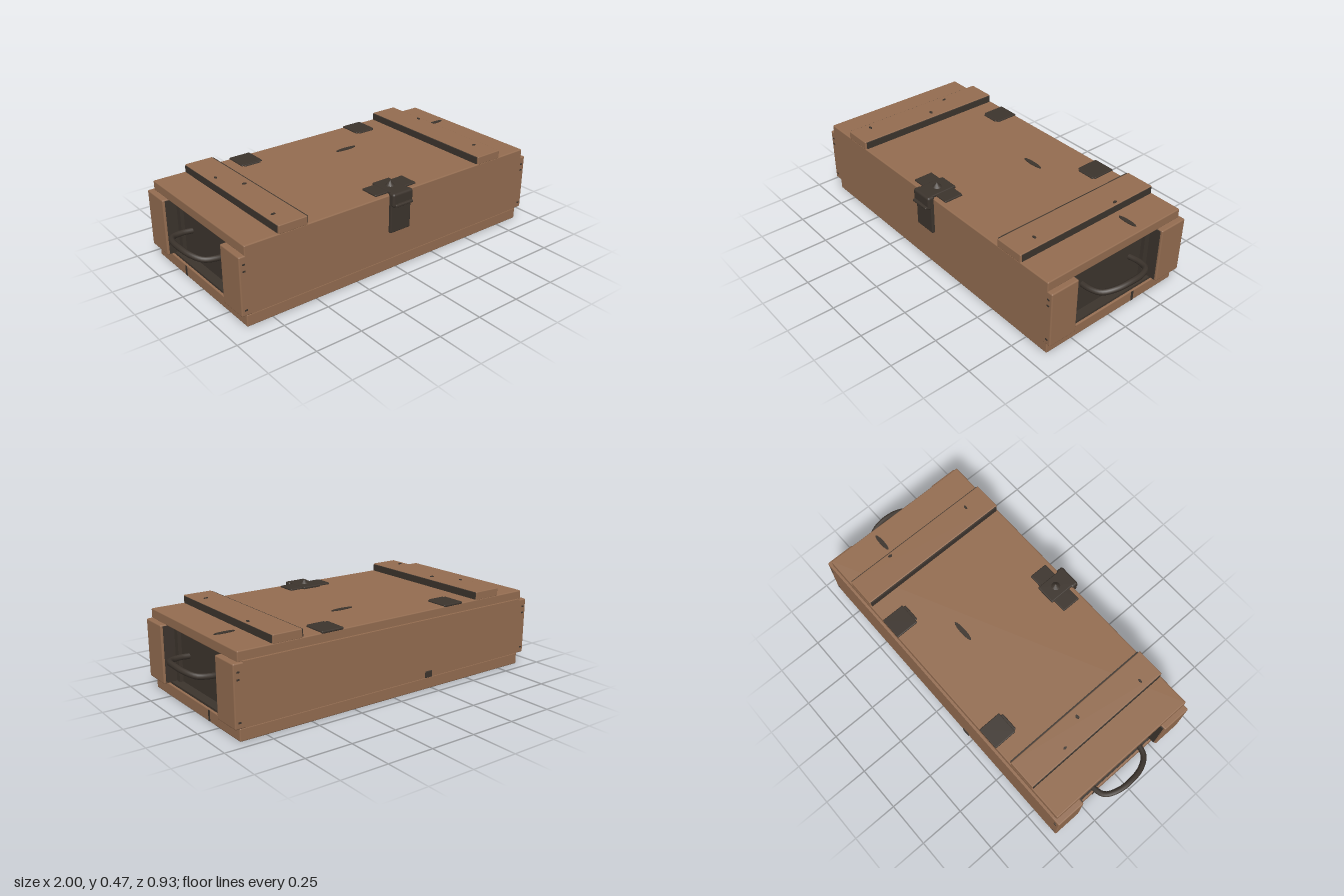
import * as THREE from 'three';
import { RoundedBoxGeometry } from 'three/addons/geometries/RoundedBoxGeometry.js';

export function createModel() {
  const model = new THREE.Group();
  model.name = 'woodenCrate';

  const wood = new THREE.MeshStandardMaterial({ color: 0x936c50 });
  wood.name = 'brown wood';
  const dark = new THREE.MeshStandardMaterial({ color: 0x3c342d });
  dark.name = 'dark metal and worn wood';

  // Block given by its minimum and maximum on each axis; bevel 0 gives sharp edges
  function block(name, mat, [x0, x1], [y0, y1], [z0, z1], bevel = 0) {
    const s = [x1 - x0, y1 - y0, z1 - z0];
    const geo = bevel ? new RoundedBoxGeometry(...s, 2, bevel) : new THREE.BoxGeometry(...s);
    const mesh = new THREE.Mesh(geo, mat);
    mesh.name = name;
    mesh.position.set((x0 + x1) / 2, (y0 + y1) / 2, (z0 + z1) / 2);
    model.add(mesh);
    return mesh;
  }
  // Range on the x axis for the +x (1) or -x (-1) side
  const span = (side, a, b) => (side > 0 ? [a, b] : [-b, -a]);

  // Base and the shadow gap above it
  block('base', wood, [-0.89, 0.89], [0, 0.064], [-0.445, 0.41], 0.006);
  block('baseGap', dark, [-0.88, 0.88], [0.06, 0.075], [-0.44, 0.4]);

  // Inner box, long boards and lid
  block('innerBox', dark, [-0.83, 0.83], [0.068, 0.378], [-0.4, 0.38]);
  block('frontBoard', wood, [-0.87, 0.87], [0.07, 0.4], [0.34, 0.42]);
  block('backBoard', wood, [-0.87, 0.87], [0.07, 0.38], [-0.46, -0.38]);
  block('frontTopRail', wood, [-0.89, 0.89], [0.36, 0.424], [0.36, 0.42], 0.005);
  block('lid', wood, [-0.89, 0.89], [0.372, 0.425], [-0.447, 0.418], 0.006);

  for (const side of [1, -1]) {
    // Corner posts with worn inner faces
    block('frontPost', wood, span(side, 0.8, 0.92), [0.068, 0.376], [0.257, 0.42], 0.007);
    block('backPost', wood, span(side, 0.8, 0.92), [0.068, 0.376], [-0.46, -0.297], 0.007);
    block('frontPostInnerFace', dark, span(side, 0.82, 0.908), [0.075, 0.37], [0.252, 0.258]);
    block('backPostInnerFace', dark, span(side, 0.82, 0.908), [0.075, 0.37], [-0.298, -0.292]);
    // Recess edging
    block('recessFrontStrip', dark, span(side, 0.82, 0.85), [0.07, 0.374], [0.22, 0.256]);
    block('recessBackStrip', dark, span(side, 0.82, 0.85), [0.07, 0.374], [-0.296, -0.26]);

    // Lid batten with dark long sides
    block('batten', wood, span(side, 0.55, 0.708), [0.42, 0.466], [-0.446, 0.42], 0.005);
    block('battenInnerSide', dark, span(side, 0.543, 0.551), [0.424, 0.462], [-0.44, 0.41]);
    block('battenOuterSide', dark, span(side, 0.707, 0.711), [0.424, 0.462], [-0.44, 0.41]);

    // Rope handle
    const path = [[0.82, -0.18, 0.23], [0.89, -0.183, 0.235], [0.945, -0.165, 0.24], [0.978, -0.1, 0.252],
      [0.985, -0.02, 0.258], [0.972, 0.06, 0.25], [0.935, 0.12, 0.238], [0.88, 0.14, 0.235], [0.82, 0.14, 0.232]]
      .map(([x, z, y]) => new THREE.Vector3(side * x, y, z));
    const rope = new THREE.Mesh(
      new THREE.TubeGeometry(new THREE.CatmullRomCurve3(path), 40, 0.015, 8), dark);
    rope.name = 'ropeHandle';
    model.add(rope);

    // Hinge plate at the back of the lid
    block('hinge', dark, span(side, 0.32, 0.445), [0.42, 0.433], [-0.449, -0.32], 0.005);
    block('hingeTongue', dark, span(side, 0.335, 0.435), [0.42, 0.432], [-0.34, -0.308], 0.005);

    // Nails on the front and back boards
    for (const y of [0.1, 0.3, 0.335])
      for (const z of [0.42, -0.46])
        block('boardNail', dark, span(side, 0.89, 0.904), [y - 0.004, y + 0.004], [z - 0.002, z + 0.002]);

    // Worn split at the end of the base
    block('baseSplit', dark, span(side, 0.887, 0.892), [0.005, 0.06], [-0.168, -0.153]);
  }

  // Latch: plate on the lid, knuckle over the edge, hasp down the front
  block('latchPlate', dark, [-0.13, 0.13], [0.42, 0.434], [0.29, 0.395], 0.005);
  block('latchTongue', dark, [-0.055, 0.055], [0.42, 0.438], [0.275, 0.44], 0.006);
  block('latchKnuckle', dark, [-0.064, 0.064], [0.365, 0.438], [0.41, 0.452], 0.012);
  block('latchHasp', dark, [-0.064, 0.064], [0.22, 0.39], [0.415, 0.436], 0.006);
  block('latchLip', dark, [-0.055, 0.055], [0.37, 0.384], [0.43, 0.465], 0.005);
  const stud = new THREE.Mesh(new THREE.ConeGeometry(0.026, 0.026, 10), dark);
  stud.name = 'latchStud';
  stud.position.set(0, 0.449, 0.35);
  model.add(stud);

  // Flat marks on the top and bottom: x, y, z, half width, half depth
  const marks = [
    [0.13, 0.426, -0.175, 0.065, 0.013], [0.8, 0.426, -0.175, 0.055, 0.012],
    [-0.595, 0.467, -0.05, 0.012, 0.008], [0.69, 0.467, -0.2, 0.007, 0.012],
    [0.65, 0.467, 0.285, 0.012, 0.006], [-0.665, 0.467, 0.31, 0.012, 0.006],
    [-0.67, 0.467, -0.2, 0.006, 0.01],
    [0.445, 0.001, -0.026, 0.014, 0.014], [0.32, 0.001, -0.02, 0.012, 0.012], [0.08, 0.001, -0.2, 0.014, 0.014],
  ];
  for (const [x, y, z, rx, rz] of marks) {
    const mark = new THREE.Mesh(new THREE.CylinderGeometry(1, 1, 0.004, 12), dark);
    mark.name = 'wornMark';
    mark.scale.set(rx, 1, rz);
    mark.position.set(x, y + 0.001, z);
    model.add(mark);
  }

  // Knot low on the back board
  block('backKnot', dark, [-0.235, -0.19], [0.07, 0.105], [-0.465, -0.457], 0.003);

  return model;
}
